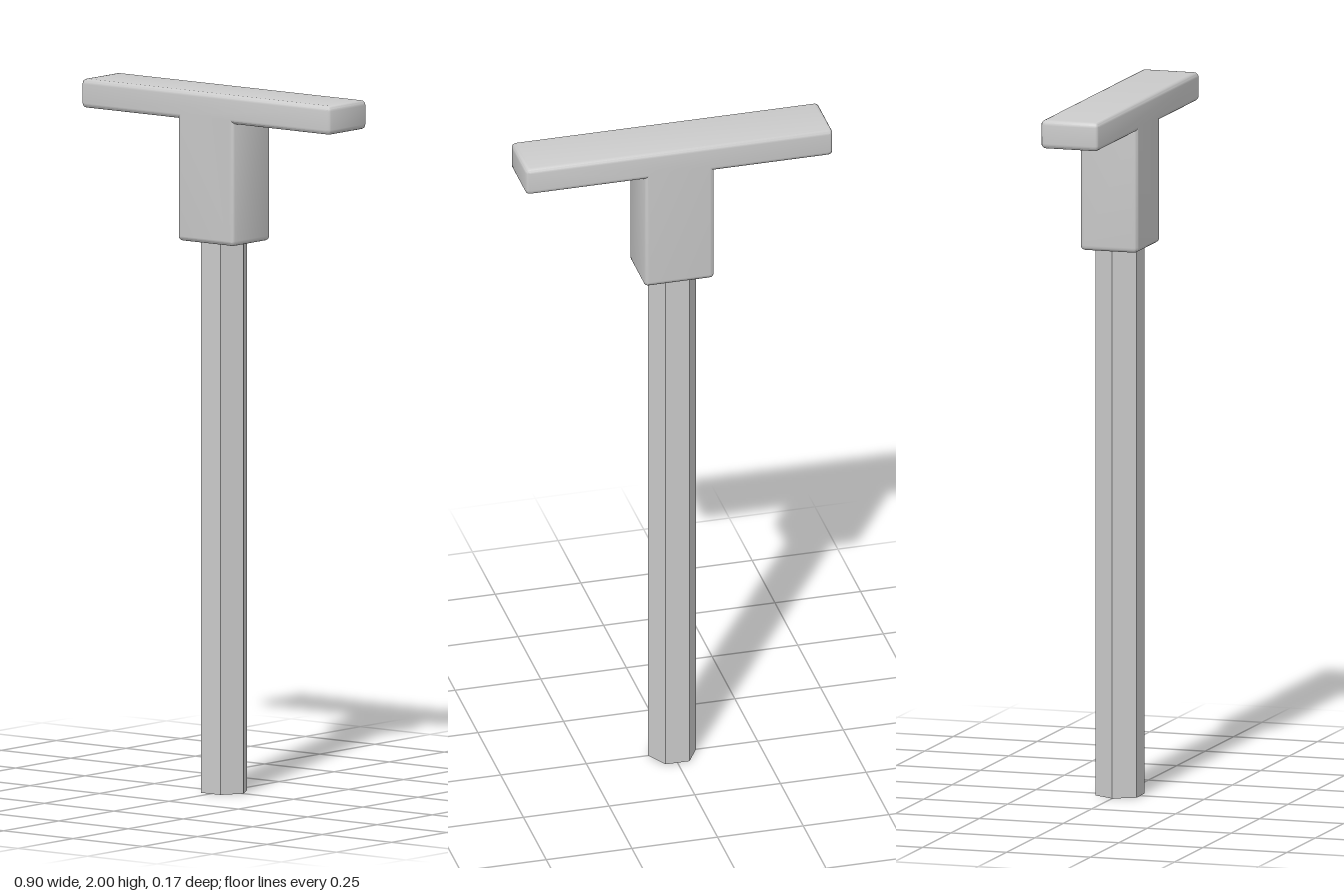
import * as THREE from 'three';
import { toCreasedNormals } from 'three/addons/utils/BufferGeometryUtils.js';

const BAR = 0.448, BLOCK = 0.102, DEPTH = 0.172; // half widths and full depth
const TOP = 2, BAR_BOTTOM = 1.918, BLOCK_BOTTOM = 1.57;
const BEVEL = 0.014, ROUND = 0.0145;

// T-shaped outline, counter-clockwise, outer corners rounded and inner ones sharp
function handleShape() {
  const half = [[BLOCK, BLOCK_BOTTOM, true], [BLOCK, BAR_BOTTOM, false], [BAR, BAR_BOTTOM, true], [BAR, TOP, true]];
  const corners = [...half, ...half.map(([x, y, r]) => [-x, y, r]).reverse()];
  const shape = new THREE.Shape();
  corners.forEach(([x, y, rounded], i) => {
    const p = new THREE.Vector2(x, y);
    const toward = (c) => new THREE.Vector2(c[0], c[1]).sub(p).setLength(ROUND).add(p);
    const a = rounded ? toward(corners.at(i - 1)) : p;
    if (i === 0) shape.moveTo(a.x, a.y);
    else shape.lineTo(a.x, a.y);
    if (rounded) {
      const b = toward(corners[(i + 1) % corners.length]);
      shape.quadraticCurveTo(x, y, b.x, b.y);
    }
  });
  shape.closePath();
  return shape;
}

export function createModel() {
  const model = new THREE.Group();
  model.name = 'tHandleKey';
  const material = new THREE.MeshStandardMaterial({ color: 0xcccccc });

  // Handle: crossbar and neck block in one soft-edged piece
  const handleGeometry = new THREE.ExtrudeGeometry(handleShape(), {
    depth: DEPTH - 2 * BEVEL, curveSegments: 4,
    bevelEnabled: true, bevelThickness: BEVEL, bevelSize: BEVEL, bevelOffset: -BEVEL, bevelSegments: 4,
  });
  handleGeometry.translate(0, 0, BEVEL - DEPTH / 2);
  const handle = new THREE.Mesh(toCreasedNormals(handleGeometry, 0.6), material);
  handle.name = 'handle';

  // Shaft: hexagonal rod with flats facing front and back
  const length = BLOCK_BOTTOM + 0.01;
  const shaftGeometry = new THREE.CylinderGeometry(0.07, 0.07, length, 6, 1, false, Math.PI / 6);
  shaftGeometry.translate(0, length / 2, 0);
  const shaft = new THREE.Mesh(toCreasedNormals(shaftGeometry, 0.5), material);
  shaft.name = 'hexShaft';

  model.add(handle, shaft);
  return model;
}
